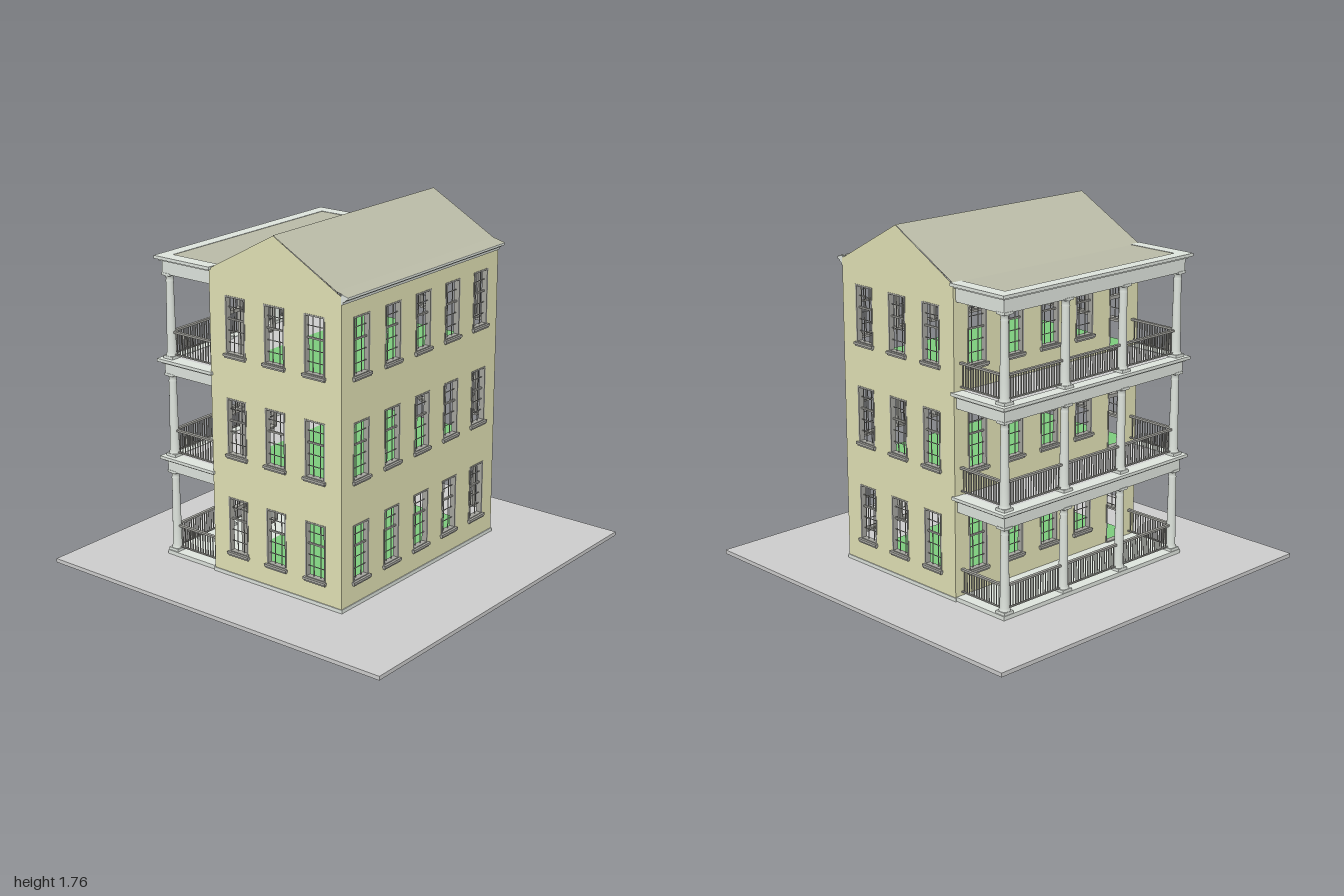
import * as THREE from 'three';
import { mergeGeometries } from 'three/addons/utils/BufferGeometryUtils.js';

const mat = (color, side = THREE.FrontSide) => new THREE.MeshStandardMaterial({ color, side });
const GREY = mat(0xcccccc), WALL = mat(0xe0e0b4), TRIM = mat(0xdde3dc), ROOF = mat(0xb9baa6, THREE.DoubleSide);
const FRAME = mat(0xa4a49e), GREEN = mat(0x7ccb7c);

const HALF_W = 0.615, FRONT = 0.49, BACK = -0.29, MID = 0.1, HALF_D = 0.39;
const EAVE = 1.54, RIDGE = 1.755;
const STOREYS = [0.04, 0.54, 1.04];           // floor heights
const WIN_W = 0.12, WIN_H = 0.285, SILL = 0.105;

function box(w, h, d, x = 0, y = 0, z = 0) {
  return new THREE.BoxGeometry(w, h, d).translate(x, y, z);
}
function add(parent, name, geometry, material, x = 0, y = 0, z = 0) {
  const m = new THREE.Mesh(geometry, material);
  m.name = name;
  m.position.set(x, y, z);
  parent.add(m);
  return m;
}
function rectPath(cx, y0, w, h) {
  return new THREE.Path([[-1, 0], [-1, 1], [1, 1], [1, 0]].map(([a, b]) => new THREE.Vector2(cx + a * w / 2, y0 + b * h)));
}

// Sash window with its bottom centre at the origin, facing +z
function windowGeometry() {
  const w = WIN_W, h = WIN_H, t = 0.008, parts = [];
  for (const s of [-1, 1]) {
    parts.push(box(t, h, 0.03, s * (w - t) / 2, h / 2, -0.013));
    parts.push(box(0.003, h, 0.004, s * w / 6, h / 2, -0.016));
  }
  for (const y of [t / 2, h - t / 2]) parts.push(box(w, t, 0.03, 0, y, -0.013));
  parts.push(box(w, 0.008, 0.01, 0, h * 0.6, -0.016));
  for (const k of [0.2, 0.4, 0.8]) parts.push(box(w, 0.003, 0.004, 0, h * k, -0.016));
  parts.push(box(w + 0.012, 0.012, 0.03, 0, -0.002, 0));
  parts.push(box(w + 0.004, 0.008, 0.02, 0, -0.012, 0));
  return mergeGeometries(parts);
}

// Door casing with transom light, facing +z
function doorGeometry() {
  const w = WIN_W, h = WIN_H + SILL, t = 0.008, parts = [];
  for (const s of [-1, 1]) {
    parts.push(box(t, h, 0.03, s * (w - t) / 2, h / 2, -0.013));
    parts.push(box(0.003, 0.12, 0.004, s * w / 6, h - 0.06, -0.016));
  }
  parts.push(box(w, t, 0.03, 0, h - t / 2, -0.013));
  parts.push(box(w, 0.018, 0.026, 0, 0.265, -0.013));
  parts.push(box(w, 0.006, 0.03, 0, 0.003, -0.005));
  return mergeGeometries(parts);
}

// Wall with openings in every storey, turned to its side of the house
function wall(name, outline, centres, doorAt, pos, turn, win, door) {
  const g = new THREE.Group();
  g.name = name;
  const shape = new THREE.Shape(outline.map(([x, y]) => new THREE.Vector2(x, y)));
  for (const y of STOREYS) for (const x of centres) {
    const isDoor = x === doorAt;
    shape.holes.push(isDoor ? rectPath(x, y + 0.002, WIN_W, WIN_H + SILL - 0.002) : rectPath(x, y + SILL, WIN_W, WIN_H));
    add(g, isDoor ? 'doorFrame' : 'window', isDoor ? door : win, FRAME, x, isDoor ? y : y + SILL, 0);
    if (isDoor) {
      // leaf standing open into the room
      const leaf = add(g, 'doorLeaf', box(0.1, 0.255, 0.008, 0.05, 0.128, 0), FRAME, x - 0.05, y, -0.02);
      leaf.rotation.y = 1.25;
    }
  }
  add(g, 'wallFace', new THREE.ShapeGeometry(shape), WALL);
  g.position.set(...pos);
  g.rotation.y = turn;
  return g;
}

// Three-sided band open towards the house, from y0 upwards
function uBand(outer, inner, zOuter, zInner, y0, h, zWall = 0.29) {
  const s = new THREE.Shape([[-outer, zWall], [-inner, zWall], [-inner, zInner], [inner, zInner], [inner, zWall],
    [outer, zWall], [outer, zOuter], [-outer, zOuter]].map(p => new THREE.Vector2(...p)));
  return new THREE.ExtrudeGeometry(s, { depth: h, bevelEnabled: false }).rotateX(-Math.PI / 2).translate(0, y0, 0);
}

// Railing along x, from the origin
function railing(length) {
  const parts = [box(length, 0.01, 0.016, length / 2, 0.132, 0), box(length, 0.006, 0.01, length / 2, 0.02, 0)];
  const n = Math.round(length / 0.0165);
  for (let i = 1; i < n; i++) parts.push(box(0.0045, 0.11, 0.0045, i * length / n, 0.076, 0));
  return mergeGeometries(parts);
}

// Round column with square plinth and abacus
function columnGeometry(h) {
  const p = [[0.027, 0.012], [0.028, 0.02], [0.023, 0.028], [0.0225, 0.1], [0.0185, h - 0.045], [0.021, h - 0.042],
    [0.0185, h - 0.036], [0.0185, h - 0.022], [0.025, h - 0.012]].map(q => new THREE.Vector2(...q));
  return mergeGeometries([new THREE.LatheGeometry(p, 20),
    box(0.058, 0.014, 0.058, 0, 0.007, 0), box(0.054, 0.012, 0.054, 0, h - 0.006, 0)]);
}

// Profile given as [z, y], swept along x
function sweepX(points, width) {
  const s = new THREE.Shape(points.map(p => new THREE.Vector2(...p)));
  return new THREE.ExtrudeGeometry(s, { depth: width, bevelEnabled: false })
    .translate(0, 0, -width / 2).rotateY(-Math.PI / 2);
}

export function createModel() {
  const model = new THREE.Group();
  model.name = 'house';
  add(model, 'ground', box(2, 0.02, 2, 0, 0.01, 0), GREY);

  // Walls
  const win = windowGeometry(), door = doorGeometry();
  const long = [[-HALF_W, 0.02], [HALF_W, 0.02], [HALF_W, EAVE], [-HALF_W, EAVE]];
  const gable = [[-HALF_D, 0.02], [HALF_D, 0.02], [HALF_D, EAVE], [0, RIDGE], [-HALF_D, EAVE]];
  const five = [-0.47, -0.235, 0, 0.235, 0.47], three = [-0.235, 0, 0.235];
  model.add(
    wall('frontWall', long, five, null, [0, 0, FRONT], 0, win, door),
    wall('backWall', long, five, 0.47, [0, 0, BACK], Math.PI, win, door),
    wall('leftWall', gable, three, null, [HALF_W, 0, MID], Math.PI / 2, win, door),
    wall('rightWall', gable, three, null, [-HALF_W, 0, MID], -Math.PI / 2, win, door));

  // Plinth strips round the foot of the walls
  for (const s of [-1, 1]) {
    add(model, 'plinthSide', box(0.005, 0.018, 0.79, s * 0.617, 0.029, MID), TRIM);
  }
  add(model, 'plinthFront', box(1.239, 0.018, 0.005, 0, 0.029, 0.492), TRIM);

  // Room floors, seen through the windows
  for (const y of STOREYS) {
    const f = new THREE.PlaneGeometry(2 * HALF_W - 0.002, 2 * HALF_D - 0.002).rotateX(-Math.PI / 2);
    add(model, 'roomFloor', f, GREEN, 0, y, MID);
  }

  // Pitched roof, front slope flattening over the eave
  const top = [[0.527, 1.545], [0.46, 1.561], [MID, RIDGE + 0.002], [BACK - 0.005, EAVE + 0.004]];
  const pos = [], idx = [];
  top.forEach(([z, y], i) => {
    pos.push(-HALF_W, y, z, HALF_W, y, z);
    if (i < 3) idx.push(2 * i, 2 * i + 1, 2 * i + 3, 2 * i, 2 * i + 3, 2 * i + 2);
  });
  const roof = new THREE.BufferGeometry();
  roof.setAttribute('position', new THREE.Float32BufferAttribute(pos, 3));
  roof.setIndex(idx);
  const flatRoof = roof.toNonIndexed();
  flatRoof.computeVertexNormals();
  add(model, 'roof', flatRoof, new THREE.MeshStandardMaterial({ color: 0xb9baa6 }));

  // Front eave cornice
  add(model, 'frontCornice', sweepX([[0.485, 1.505], [0.496, 1.505], [0.498, 1.517], [0.508, 1.521],
    [0.514, 1.53], [0.526, 1.532], [0.526, 1.543], [0.485, 1.552]], 2 * HALF_W), TRIM);

  // Back porch: base slab, then each storey
  const porch = new THREE.Group();
  porch.name = 'porch';
  model.add(porch);
  add(porch, 'porchBase', box(1.22, 0.02, 0.32, 0, 0.03, -0.45), TRIM);
  const column = columnGeometry(0.425);
  const colX = [-0.575, -0.192, 0.192, 0.575], colZ = -0.578;
  const bay = railing(0.383 - 0.042), sideRail = railing(0.265);
  STOREYS.forEach((y, i) => {
    const beam = y + 0.42, deck = i === 2 ? 1.55 : y + 0.5, under = deck - 0.025;
    for (const x of colX) add(porch, 'column', column, TRIM, x, y, colZ);
    for (let k = 0; k < 3; k++) add(porch, 'backRailing', bay, FRAME, colX[k] + 0.021, y, colZ);
    for (const x of [-0.575, 0.575]) {
      add(porch, 'sideRailing', sideRail, FRAME, x, y, -0.292).rotation.y = Math.PI / 2;
    }
    // beam, stepped cornice and deck
    add(porch, 'beam', uBand(0.6, 0.557, 0.602, 0.56, beam, under - beam), TRIM);
    add(porch, 'corniceLower', uBand(0.612, 0.56, 0.612, 0.565, under, 0.01), TRIM);
    add(porch, 'corniceUpper', uBand(0.628, 0.56, 0.628, 0.565, under + 0.01, 0.015, 0.28), TRIM);
    add(porch, i === 2 ? 'porchRoof' : 'porchDeck', box(1.12, 0.018, 0.275, 0, deck - 0.011, -0.4275), i === 2 ? ROOF : GREY);
  });
  return model;
}
